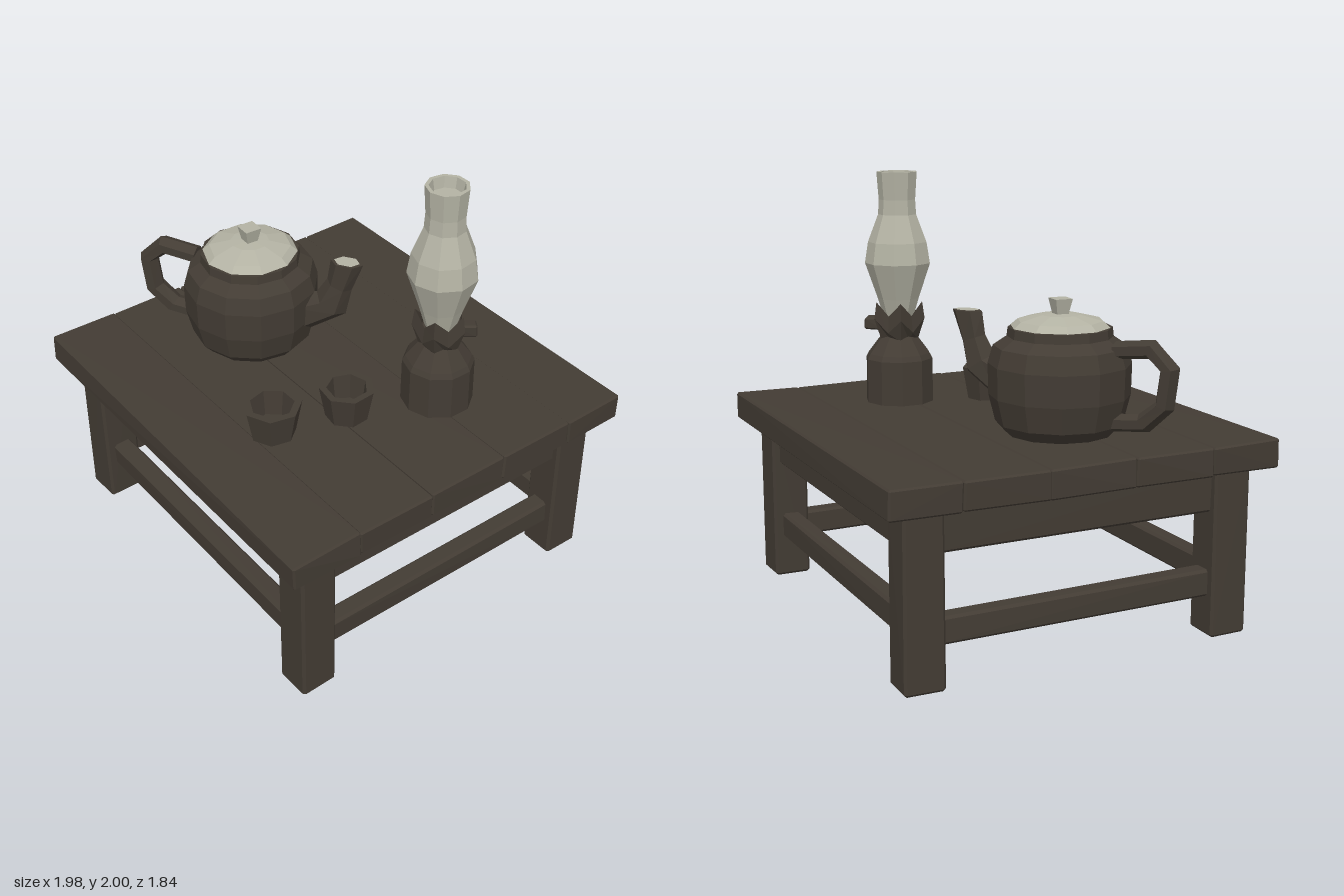
import * as THREE from 'three';
import { ConvexGeometry } from 'three/addons/geometries/ConvexGeometry.js';

const opts = { flatShading: true, side: THREE.DoubleSide };
const darkWood = new THREE.MeshStandardMaterial({ ...opts, color: 0x433c34 });
darkWood.name = 'dark wood and iron';
const paleGlaze = new THREE.MeshStandardMaterial({ ...opts, color: 0xb4b3a4 });
paleGlaze.name = 'pale glass and enamel';

let seed = 7;
const jitter = (amount) => {
  seed = (seed * 16807) % 2147483647;
  return (seed / 2147483647 - 0.5) * 2 * amount;
};

function add(parent, name, geometry, material) {
  const flat = geometry.index ? geometry.toNonIndexed() : geometry;
  flat.computeVertexNormals();
  const mesh = new THREE.Mesh(flat, material);
  mesh.name = name;
  parent.add(mesh);
  return mesh;
}

// Chamfered timber between two corners, with slightly uneven corners
function timber(min, max, chamfer = 0.012, wobble = 0.003) {
  const points = [];
  for (let c = 0; c < 8; c++) {
    const side = [c & 1, (c >> 1) & 1, c >> 2];
    const corner = side.map((s, k) => (s ? max[k] : min[k]) + jitter(wobble));
    for (let axis = 0; axis < 3; axis++) {
      // pull back the two other axes so every edge is bevelled
      const p = corner.map((v, k) => (k === axis ? v : v + (side[k] ? -chamfer : chamfer)));
      points.push(new THREE.Vector3(...p));
    }
  }
  return new ConvexGeometry(points);
}

const lathe = (profile, sides, turn = 0) =>
  new THREE.LatheGeometry(profile.map(([r, y]) => new THREE.Vector2(r, y)), sides, turn);

// Tapered limb in the xy plane; each ring is [x, y, heading, in-plane radius, z radius]
function limb(rings, sides = 6) {
  const closed = [[...rings[0].slice(0, 3), 0, 0], ...rings, [...rings.at(-1).slice(0, 3), 0, 0]];
  const pos = [], index = [];
  closed.forEach(([x, y, a, rn, rz], i) => {
    for (let j = 0; j < sides; j++) {
      const t = (j / sides) * Math.PI * 2;
      pos.push(x - Math.sin(a) * rn * Math.cos(t), y + Math.cos(a) * rn * Math.cos(t), rz * Math.sin(t));
      if (i === closed.length - 1) continue;
      const p = i * sides + j, q = i * sides + ((j + 1) % sides);
      index.push(p, q, q + sides, p, q + sides, p + sides);
    }
  });
  const g = new THREE.BufferGeometry();
  g.setAttribute('position', new THREE.Float32BufferAttribute(pos, 3));
  g.setIndex(index);
  return g;
}

function makeTable() {
  const table = new THREE.Group();
  table.name = 'table';
  // Top planks, running left to right
  const seams = [-0.92, -0.6, -0.21, 0.195, 0.58, 0.92];
  for (let i = 0; i < 5; i++) {
    const plank = timber([-0.985, 0.77, seams[i]], [0.985, 0.9, seams[i + 1]], 0.008, 0.004);
    add(table, 'plank', plank, darkWood);
  }
  for (const s of [-1, 1]) {
    // Legs
    for (const x of [-0.82, 0.82]) {
      add(table, 'leg', timber([x - 0.087, 0, s * 0.735 - 0.09], [x + 0.087, 0.775, s * 0.735 + 0.09]), darkWood);
    }
    // Aprons and stretchers on all four sides
    const z = s * 0.735, x = s * 0.82;
    add(table, 'longApron', timber([-0.75, 0.575, z - 0.05], [0.75, 0.775, z + 0.05]), darkWood);
    add(table, 'sideApron', timber([x - 0.05, 0.575, -0.66], [x + 0.05, 0.775, 0.66]), darkWood);
    add(table, 'longStretcher', timber([-0.75, 0.2, z - 0.045], [0.75, 0.32, z + 0.045]), darkWood);
    add(table, 'sideStretcher', timber([x - 0.045, 0.185, -0.66], [x + 0.045, 0.305, 0.66]), darkWood);
  }
  return table;
}

function makeTeapot() {
  const pot = new THREE.Group();
  pot.name = 'teapot';
  add(pot, 'potBody', lathe([[0, 0], [0.24, 0], [0.285, 0.05], [0.315, 0.17], [0.318, 0.31], [0.295, 0.39],
    [0.235, 0.43], [0.23, 0.47], [0, 0.47]], 12), darkWood);
  add(pot, 'lid', lathe([[0.222, 0.472], [0.19, 0.5], [0.09, 0.525], [0, 0.53]], 10), paleGlaze);
  add(pot, 'lidKnob', lathe([[0.035, 0.515], [0.057, 0.595], [0, 0.595]], 4, 0.15), paleGlaze);
  const P = Math.PI;
  add(pot, 'spout', limb([
    [0.27, 0.2, 0.3, 0.1, 0.085], [0.4, 0.27, 1.0, 0.085, 0.07],
    [0.44, 0.38, 1.25, 0.062, 0.05], [0.475, 0.505, P / 2, 0.078, 0.048],
  ]), darkWood);
  const mouth = add(pot, 'spoutMouth', new THREE.CircleGeometry(1, 6), paleGlaze);
  mouth.rotation.x = -P / 2;
  mouth.scale.set(0.062, 0.042, 1);
  mouth.position.set(0.475, 0.509, 0);
  add(pot, 'handle', limb([
    [-0.27, 0.39, P, 0.04, 0.05], [-0.44, 0.41, P + 0.35, 0.045, 0.05],
    [-0.525, 0.33, 1.45 * P, 0.045, 0.055], [-0.505, 0.17, 1.6 * P, 0.045, 0.055],
    [-0.41, 0.085, 1.8 * P, 0.045, 0.05], [-0.26, 0.07, 2 * P, 0.04, 0.05],
  ]), darkWood);
  pot.position.set(-0.43, 0.9, 0.13);
  pot.rotation.y = 0.58;
  return pot;
}

function makeLamp() {
  const lamp = new THREE.Group();
  lamp.name = 'oilLamp';
  add(lamp, 'lampBase', lathe([[0, 0], [0.165, 0], [0.163, 0.21], [0.15, 0.235], [0.085, 0.32], [0, 0.32]], 10), darkWood);
  // Crown-like burner: alternate columns rise and flare
  const crown = lathe([[0.08, 0.3], [0.11, 0.36], [0.1, 0.44]], 10);
  const p = crown.attributes.position;
  for (let i = 0; i < p.count; i++) {
    const tip = Math.floor(i / 3) % 2, row = i % 3;
    const k = tip ? 1.15 : 0.92;
    p.setXYZ(i, p.getX(i) * k, p.getY(i) + (row ? (tip ? 0.045 : -0.02) : 0), p.getZ(i) * k);
  }
  add(lamp, 'burnerCrown', crown, darkWood);
  const wick = add(lamp, 'wickKnob', timber([0.07, 0.345, -0.03], [0.165, 0.405, 0.03], 0.008), darkWood);
  wick.rotation.y = 0.95;
  // Glass chimney with an open, hollow top
  add(lamp, 'glassChimney', lathe([[0, 0.4], [0.07, 0.4], [0.1, 0.5], [0.158, 0.67], [0.142, 0.77],
    [0.092, 0.9], [0.088, 0.97], [0.097, 1.1], [0.08, 1.1], [0.07, 1.05], [0, 1.05]], 9), paleGlaze);
  lamp.position.set(0.483, 0.9, -0.25);
  return lamp;
}

function makeCup(x, z, size, turn) {
  const cup = new THREE.Group();
  cup.name = 'cup';
  add(cup, 'cupBody', lathe([[0, 0], [0.105, 0], [0.135, 0.155], [0.1, 0.155], [0.085, 0.035], [0, 0.035]], 7, turn), darkWood);
  cup.scale.set(size, 1, size);
  cup.position.set(x, 0.9, z);
  return cup;
}

export function createModel() {
  const model = new THREE.Group();
  model.name = 'teaTable';
  model.add(makeTable(), makeTeapot(), makeLamp(), makeCup(0.34, 0.155, 0.93, 0.3), makeCup(0.238, 0.49, 1, 0));
  return model;
}
